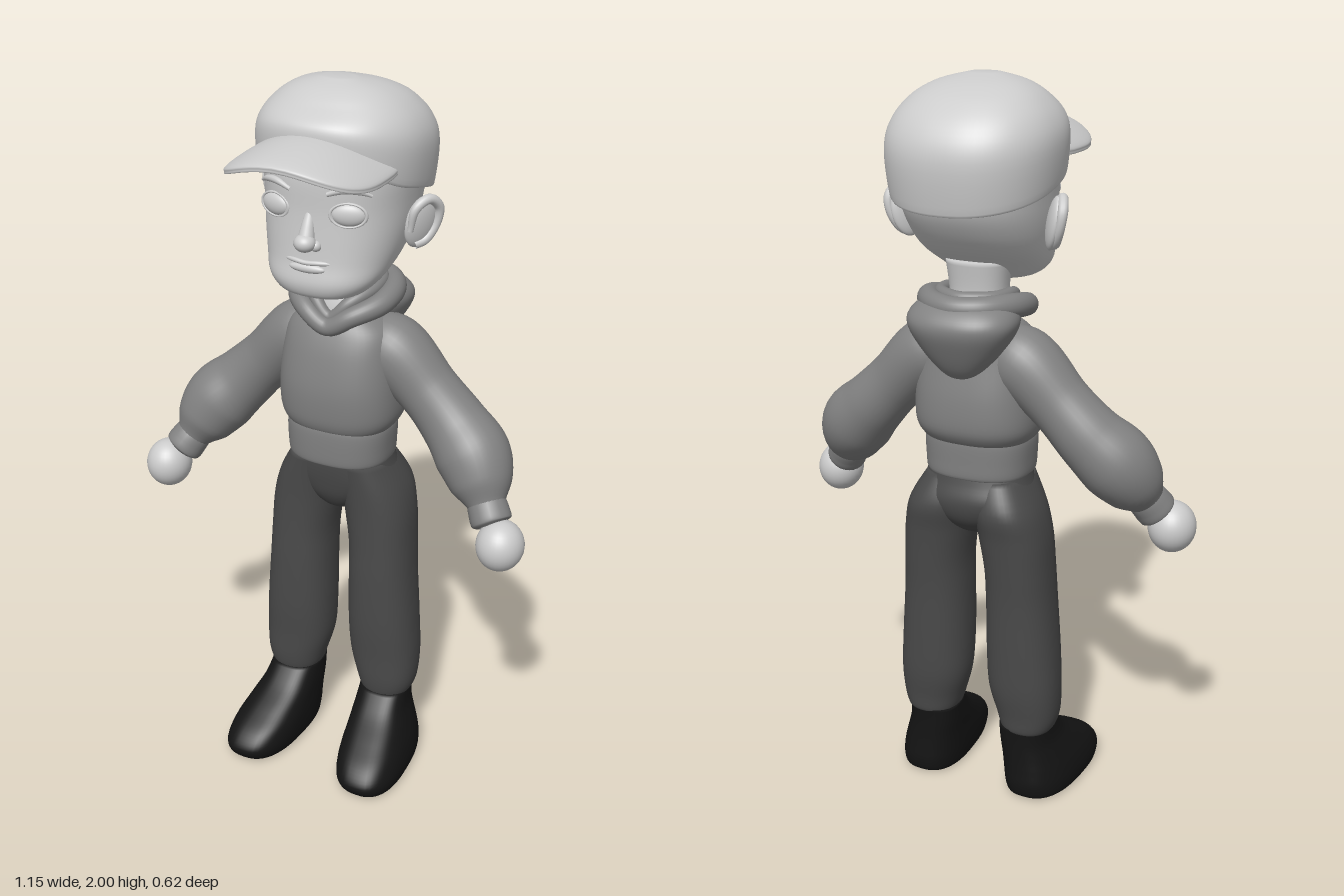
import * as THREE from 'three';
import { mergeVertices } from 'three/addons/utils/BufferGeometryUtils.js';

const SKIN = 0xcccccc, CAP = 0xcccccc, TOP = 0x828282, PANTS = 0x4a4a4a, SHOE = 0x141414;

// Smooth interpolation through rows of numbers, s in 0..rows-1
function sample(rows, s) {
  const i = Math.min(Math.floor(s), rows.length - 2), f = s - i;
  const a = rows[Math.max(i - 1, 0)], b = rows[i], c = rows[i + 1], d = rows[Math.min(i + 2, rows.length - 1)];
  return b.map((v, k) => v + 0.5 * f * (c[k] - a[k] + f * (2 * a[k] - 5 * v + 4 * c[k] - d[k] + f * (3 * (v - c[k]) + d[k] - a[k]))));
}

// Closed loft of superellipse rings [y, halfWidth, zFront, zBack, centreX]
function loft(rings, { n = 2.3, side = 1, warp, steps = 5, seg = 48 } = {}) {
  const rows = [], pos = [], idx = [], total = (rings.length - 1) * steps;
  for (let i = 0; i <= total; i++) rows.push(sample(rings, i / steps));
  const pole = ([y, , f, b, c]) => [y, 0, (f + b) / 2, (f + b) / 2, c];
  rows.unshift(pole(rows[0]));
  rows.push(pole(rows[rows.length - 1]));
  const pw = (v) => Math.sign(v) * Math.abs(v) ** (2 / n);
  for (const [y, rx, zf, zb, cx = 0] of rows) {
    for (let j = 0; j < seg; j++) {
      const t = (j / seg) * Math.PI * 2;
      const p = new THREE.Vector3(cx * side + rx * pw(Math.cos(t)), y, (zf + zb) / 2 + ((zf - zb) / 2) * pw(Math.sin(t)));
      if (warp) warp(p);
      pos.push(p.x, p.y, p.z);
    }
  }
  for (let i = 0; i < rows.length - 1; i++) {
    for (let j = 0; j < seg; j++) {
      const k = (j + 1) % seg, a = i * seg + j, b = i * seg + k;
      idx.push(a, a + seg, b, b, a + seg, b + seg);
    }
  }
  const g = new THREE.BufferGeometry();
  g.setAttribute('position', new THREE.Float32BufferAttribute(pos, 3));
  g.setIndex(idx);
  const m = mergeVertices(g, 1e-5);
  m.computeVertexNormals();
  return m;
}

// Tube through [x, y, z, radius] points
function taper(pts, { side = 1, closed = false, seg = 40, rad = 24 } = {}) {
  const curve = new THREE.CatmullRomCurve3(pts.map(([x, y, z]) => new THREE.Vector3(x * side, y, z)), closed);
  const g = new THREE.TubeGeometry(curve, seg, 1, rad, closed), p = g.attributes.position, v = new THREE.Vector3();
  const radii = pts.map((q) => [q[3]]);
  if (closed) radii.push(radii[0]);
  for (let i = 0; i <= seg; i++) {
    const c = curve.getPointAt(i / seg), r = sample(radii, curve.getUtoTmapping(i / seg) * (radii.length - 1))[0];
    for (let j = 0; j <= rad; j++) {
      const k = i * (rad + 1) + j;
      v.fromBufferAttribute(p, k).sub(c).multiplyScalar(r).add(c);
      p.setXYZ(k, v.x, v.y, v.z);
    }
  }
  g.deleteAttribute('uv');
  g.deleteAttribute('normal');
  const m = mergeVertices(g, 1e-5);
  m.computeVertexNormals();
  return m;
}

export function createModel() {
  const model = new THREE.Group();
  const mats = {};
  const add = (name, geo, color, parent = model) => {
    mats[color] ??= new THREE.MeshStandardMaterial({ color, side: THREE.DoubleSide });
    const m = new THREE.Mesh(geo, mats[color]);
    m.name = name;
    parent.add(m);
    return m;
  };
  const ball = (name, p, s, color, parent) => {
    const m = add(name, new THREE.SphereGeometry(1, 32, 20), color, parent);
    m.position.set(...p);
    m.scale.set(...s);
    return m;
  };
  const group = (name) => {
    const g = new THREE.Group();
    g.name = name;
    model.add(g);
    return g;
  };

  // Head and neck
  const head = group('head');
  add('skull', loft([
    [1.475, 0.08, 0.125, -0.02], [1.487, 0.115, 0.145, -0.05], [1.52, 0.147, 0.155, -0.1], [1.57, 0.168, 0.147, -0.18],
    [1.63, 0.182, 0.142, -0.235], [1.7, 0.19, 0.138, -0.272], [1.8, 0.195, 0.135, -0.285], [1.88, 0.165, 0.1, -0.24],
  ], { n: 2.4 }), SKIN, head);
  add('neck', loft([[1.3, 0.085, 0.025, -0.15], [1.4, 0.08, 0.015, -0.145], [1.46, 0.077, 0, -0.14], [1.54, 0.085, 0, -0.15]]), SKIN, head);
  add('noseBridge', taper([[0, 1.7, 0.125, 0.012], [0, 1.665, 0.138, 0.017], [0, 1.628, 0.15, 0.022]]), SKIN, head);
  ball('noseTip', [0, 1.628, 0.155], [0.028, 0.023, 0.027], SKIN, head);
  ball('lowerLip', [0, 1.56, 0.143], [0.05, 0.013, 0.014], SKIN, head);
  add('mouth', taper([[-0.078, 1.575, 0.127, 0.004], [-0.035, 1.577, 0.145, 0.006], [0, 1.575, 0.149, 0.006], [0.035, 1.577, 0.145, 0.006], [0.078, 1.575, 0.127, 0.004]]), SKIN, head);

  for (const side of [1, -1]) {
    const label = side > 0 ? 'left' : 'right';

    // Face details
    ball(label + 'Nostril', [0.024 * side, 1.62, 0.142], [0.014, 0.014, 0.015], SKIN, head);
    ball(label + 'Eye', [0.1 * side, 1.702, 0.115], [0.043, 0.028, 0.016], SKIN, head).rotation.y = 0.3 * side;
    const lid = add(label + 'Eyelid', new THREE.TorusGeometry(1, 0.1, 10, 40), SKIN, head);
    lid.position.set(0.1 * side, 1.702, 0.118);
    lid.scale.set(0.045, 0.03, 0.045);
    lid.rotation.y = 0.3 * side;
    add(label + 'Eyebrow', taper([[0.05, 1.752, 0.134, 0.006], [0.09, 1.765, 0.125, 0.009], [0.125, 1.762, 0.108, 0.008], [0.15, 1.75, 0.09, 0.004]], { side, rad: 10 }), SKIN, head);

    // Ear: cupped shell with a rolled rim
    const ear = group(label + 'Ear');
    ear.position.set(0.207 * side, 1.645, -0.075);
    ear.rotation.set(-0.15, -0.5 * side, -0.22 * side);
    ball('earShell', [0, 0, 0], [0.018, 0.07, 0.047], SKIN, ear);
    add('earRim', taper([
      [0.01, -0.02, 0.035, 0.008], [0.012, 0.04, 0.035, 0.012], [0.012, 0.066, 0, 0.013], [0.012, 0.045, -0.037, 0.013],
      [0.012, 0, -0.042, 0.012], [0.01, -0.045, -0.02, 0.013], [0.006, -0.06, 0.008, 0.012],
    ], { side, rad: 12 }), SKIN, ear);

    // Sleeve, cuff and hand
    const arm = group(label + 'Arm');
    add('sleeve', taper([
      [0.05, 1.3, -0.08, 0.07], [0.13, 1.28, -0.085, 0.094], [0.24, 1.18, -0.085, 0.083], [0.32, 1.1, -0.078, 0.09],
      [0.385, 1.035, -0.055, 0.101], [0.427, 0.97, -0.023, 0.083], [0.455, 0.92, 0.003, 0.047],
    ], { side, seg: 48, rad: 32 }), TOP, arm);
    add('cuff', taper([
      [0.442, 0.945, -0.01, 0.035], [0.446, 0.937, -0.007, 0.05], [0.463, 0.91, 0.008, 0.055], [0.475, 0.89, 0.018, 0.054], [0.479, 0.884, 0.021, 0.04],
    ], { side }), TOP, arm);
    ball('hand', [0.51 * side, 0.843, 0.042], [0.064, 0.07, 0.068], SKIN, arm);

    // Trouser leg and shoe
    const leg = group(label + 'Leg');
    add('trouserLeg', loft([
      [0.96, 0.068, 0.04, -0.165, 0.072], [0.88, 0.09, 0.035, -0.198, 0.095], [0.8, 0.095, 0.032, -0.188, 0.111],
      [0.7, 0.092, 0.032, -0.178, 0.122], [0.6, 0.094, 0.034, -0.17, 0.126], [0.45, 0.1, 0.032, -0.165, 0.132],
      [0.34, 0.1, 0.024, -0.16, 0.138], [0.26, 0.088, 0.02, -0.148, 0.147], [0.215, 0.074, 0.012, -0.142, 0.148], [0.205, 0.06, 0, -0.13, 0.148],
    ].reverse(), { side }), PANTS, leg);
    add('shoe', loft([
      [0.003, 0.083, 0.2, -0.12, 0.172], [0.012, 0.093, 0.225, -0.135, 0.172], [0.045, 0.097, 0.237, -0.142, 0.17], [0.085, 0.094, 0.205, -0.14, 0.165],
      [0.125, 0.086, 0.14, -0.138, 0.158], [0.17, 0.077, 0.065, -0.138, 0.15], [0.218, 0.072, 0.012, -0.14, 0.148],
    ], { n: 2.6, side, warp: (p) => { p.x += 0.06 * side * p.z; } }), SHOE, leg);
  }

  // Cap dome: rim rises toward the front and dips at the back
  const cap = group('cap');
  add('capDome', loft([
    [1.757, 0.205, 0.135, -0.285], [1.76, 0.216, 0.146, -0.295], [1.85, 0.224, 0.147, -0.308], [1.905, 0.207, 0.132, -0.28],
    [1.95, 0.165, 0.092, -0.212], [1.98, 0.112, 0.045, -0.14], [1.998, 0.04, -0.005, -0.06],
  ], {
    n: 2.25, seg: 64,
    warp: (p) => {
      const k = THREE.MathUtils.clamp((1.95 - p.y) / 0.19, 0, 1);
      p.y += k * (0.25 * p.z + 2.5 * Math.max(0, p.z) ** 2);
    },
  }), CAP, cap);

  // Brim: thin disc curved down at the sides and tip
  add('brim', loft([
    [1.862, 0.04, 0.13, 0.05], [1.862, 0.11, 0.2, 0], [1.863, 0.187, 0.298, -0.09], [1.873, 0.197, 0.312, -0.1],
    [1.884, 0.187, 0.3, -0.09], [1.89, 0.11, 0.2, 0], [1.892, 0.04, 0.13, 0.05],
  ], { n: 2.7, seg: 64, warp: (p) => { p.y -= 1.9 * p.x ** 2 + 0.45 * Math.max(0, p.z - 0.1) ** 2; } }), CAP, cap);

  // Sweatshirt body and waistband
  add('sweatshirtBody', loft([
    [1.055, 0.13, 0.05, -0.17], [1.07, 0.152, 0.066, -0.19], [1.11, 0.168, 0.077, -0.209], [1.19, 0.169, 0.079, -0.208],
    [1.28, 0.161, 0.062, -0.192], [1.34, 0.148, 0.04, -0.18], [1.375, 0.11, 0.018, -0.165], [1.385, 0.08, 0.005, -0.15],
  ], { n: 2.5 }), TOP);
  add('waistband', loft([
    [0.962, 0.13, 0.05, -0.165], [0.967, 0.143, 0.062, -0.18], [1.01, 0.147, 0.066, -0.183], [1.06, 0.148, 0.066, -0.184], [1.085, 0.14, 0.06, -0.18],
  ], { n: 2.5 }), TOP);

  // Hood folded down on the back, with a rolled collar meeting in a V
  const hood = group('hood');
  add('hoodPouch', loft([
    [1.24, 0.03, -0.14, -0.19], [1.27, 0.065, -0.12, -0.22], [1.32, 0.108, -0.09, -0.25], [1.375, 0.142, -0.06, -0.274],
    [1.41, 0.146, -0.05, -0.27], [1.44, 0.122, -0.05, -0.24], [1.452, 0.08, -0.07, -0.2],
  ]), TOP, hood);
  const collar = [[0, 1.36, 0.035, 0.024], [0.065, 1.395, 0.025, 0.026], [0.118, 1.42, -0.035, 0.03], [0.118, 1.435, -0.12, 0.032], [0.07, 1.438, -0.19, 0.031]];
  add('collar', taper([...collar, [0, 1.437, -0.215, 0.03], ...collar.slice(1).reverse().map(([x, y, z, r]) => [-x, y, z, r])], { closed: true, seg: 80 }), TOP, hood);
  const inner = [[0, 1.383, 0.02, 0.016], [0.05, 1.425, 0.005, 0.018], [0.088, 1.45, -0.06, 0.018], [0.075, 1.455, -0.14, 0.018]];
  add('innerCollar', taper([...inner, [0, 1.455, -0.18, 0.018], ...inner.slice(1).reverse().map(([x, y, z, r]) => [-x, y, z, r])], { closed: true, seg: 80 }), TOP, hood);

  // Trouser seat
  add('trouserSeat', loft([
    [0.79, 0.025, -0.03, -0.11], [0.81, 0.06, 0, -0.15], [0.85, 0.12, 0.025, -0.185], [0.9, 0.162, 0.038, -0.197], [0.95, 0.148, 0.045, -0.182], [0.99, 0.135, 0.045, -0.17],
  ]), PANTS);

  return model;
}
